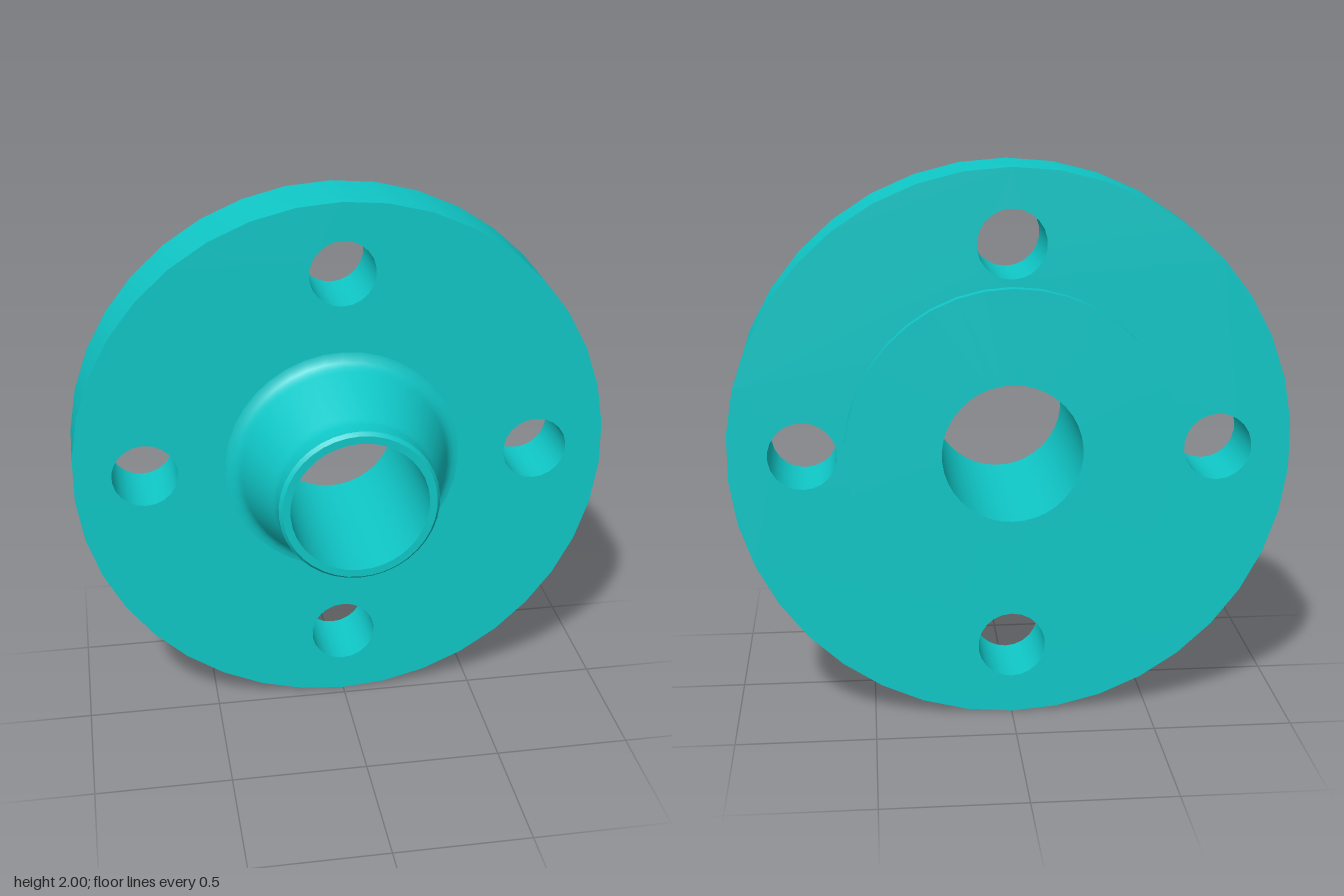
import * as THREE from 'three';
import { toCreasedNormals } from 'three/addons/utils/BufferGeometryUtils.js';

const SIDES = 38;
const BACK = -0.31, FRONT = -0.035; // plate faces
const FOOT = 0.44, BORE = 0.25;

// Closed circular path as a polygon, first corner at the bottom
function circle(PathType, radius, sides, cx = 0, cy = 0) {
  const points = [];
  for (let i = 0; i < sides; i++) {
    const a = (i / sides) * Math.PI * 2 - Math.PI / 2;
    points.push(new THREE.Vector2(cx + radius * Math.cos(a), cy + radius * Math.sin(a)));
  }
  return new PathType(points);
}

// Profile of [radius, z] pairs turned about the z axis
function turned(profile) {
  const points = profile.map(([r, z]) => new THREE.Vector2(r, z));
  return toCreasedNormals(new THREE.LatheGeometry(points, SIDES).rotateX(Math.PI / 2), 0.5);
}

export function createModel() {
  const model = new THREE.Group();
  model.name = 'weldNeckFlange';
  const teal = new THREE.MeshStandardMaterial({ color: 0x10c8c8 });
  teal.name = 'teal';

  const add = (name, geometry) => {
    const mesh = new THREE.Mesh(geometry, teal);
    mesh.name = name;
    mesh.position.y = 1;
    model.add(mesh);
  };

  // Round plate with four bolt holes; the middle is closed by hub and raised face
  const outline = circle(THREE.Shape, 1, SIDES);
  outline.holes.push(circle(THREE.Path, FOOT, SIDES));
  for (let i = 0; i < 4; i++) {
    const a = (i * Math.PI) / 2;
    outline.holes.push(circle(THREE.Path, 0.122, 22, 0.737 * Math.cos(a), 0.737 * Math.sin(a)));
  }
  const plate = new THREE.ExtrudeGeometry(outline, { depth: FRONT - BACK, bevelEnabled: false });
  add('plate', toCreasedNormals(plate.translate(0, 0, BACK), 0.5));

  // Tapered hub with a filleted foot and chamfered rim
  add('hub', turned([
    [FOOT, FRONT], [0.422, -0.032], [0.405, -0.022], [0.392, -0.005], [0.384, 0.015],
    [0.303, 0.23], [0.294, 0.25], [0.29, 0.27], [0.29, 0.33], [0.278, 0.345], [BORE, 0.345],
  ]));

  // Bore through the whole part
  add('bore', turned([[BORE, 0.345], [BORE, -0.345]]));

  // Raised sealing face on the back
  add('raisedFace', turned([[BORE, -0.345], [0.59, -0.345], [0.59, BACK]]));

  return model;
}
